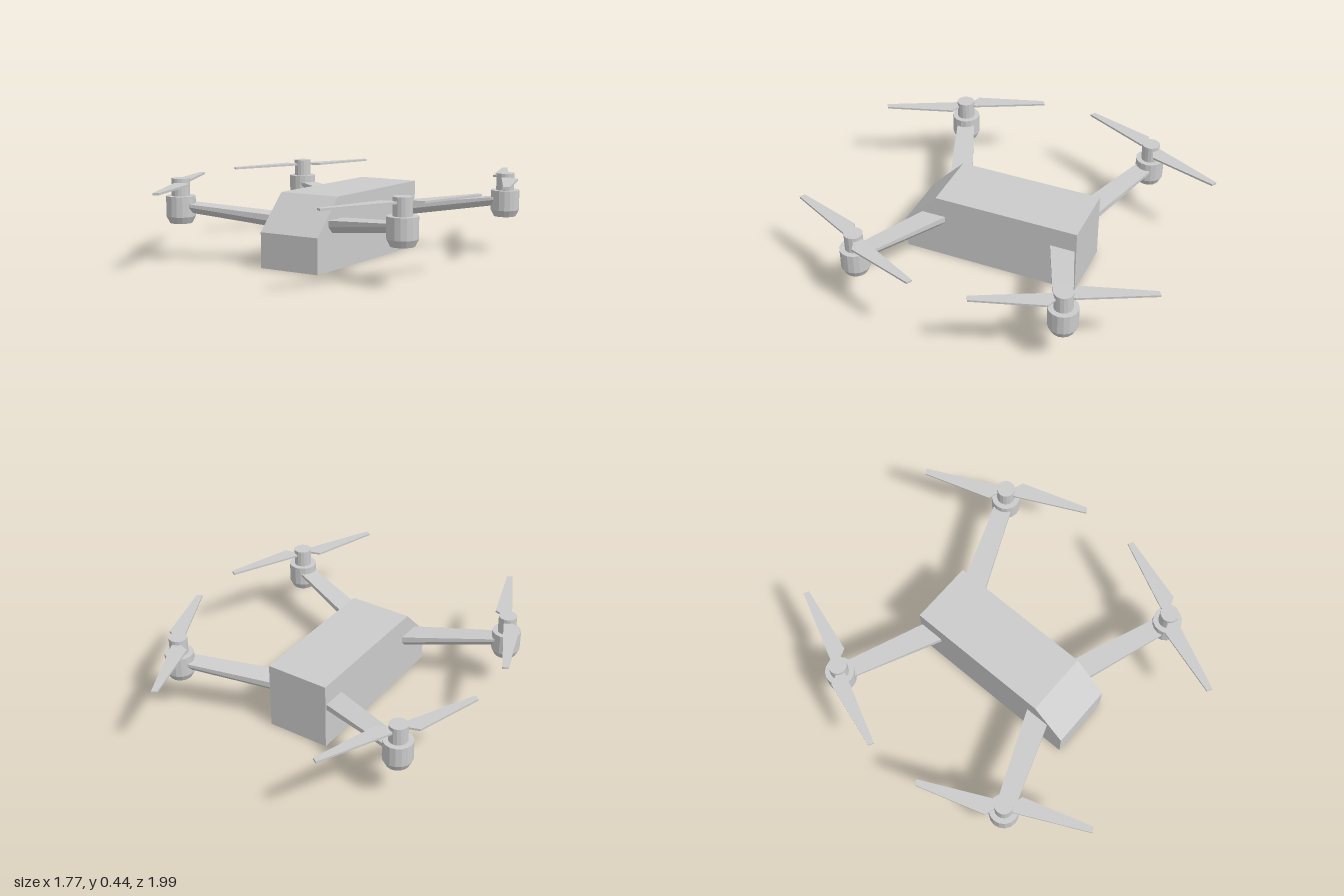
import * as THREE from 'three';
import { ConvexGeometry } from 'three/addons/geometries/ConvexGeometry.js';

const material = new THREE.MeshStandardMaterial({ color: 0xcccccc, flatShading: true, side: THREE.DoubleSide });
const MOTOR_X = 0.677, MOTOR_Z = 0.57;

function addMesh(parent, name, geometry) {
  const mesh = new THREE.Mesh(geometry, material);
  mesh.name = name;
  parent.add(mesh);
  return mesh;
}

// Extrudes an outline of [x, y] points
function prism(points, depth) {
  const shape = new THREE.Shape(points.map(([x, y]) => new THREE.Vector2(x, y)));
  return new THREE.ExtrudeGeometry(shape, { depth, bevelEnabled: false });
}

// Box body with a sloped nose
function bodyGeometry() {
  const profile = [[-0.54, 0], [0.45, 0], [0.45, 0.375], [-0.355, 0.375], [-0.54, 0.187]];
  return prism(profile, 0.35).translate(0, 0, -0.175).rotateY(Math.PI / 2);
}

// Tapered arm whose section has chamfered lower edges
function armGeometry(sx, sz) {
  const sections = [
    { x: 0.14, z: 0.358, half: 0.069, inset: 0.035, top: 0.259, mid: 0.225, low: 0.19 },
    { x: MOTOR_X, z: MOTOR_Z, half: 0.051, inset: 0.025, top: 0.312, mid: 0.298, low: 0.267 },
  ];
  const points = [];
  for (const s of sections) {
    for (const side of [-1, 1]) {
      for (const [half, y] of [[s.half, s.top], [s.half, s.mid], [s.half - s.inset, s.low]]) {
        points.push(new THREE.Vector3(sx * s.x, y, sz * (s.z + side * half)));
      }
    }
  }
  return new ConvexGeometry(points);
}

// Motor can with a chamfered base and a narrower shaft on top
function motorGeometry() {
  const profile = [[0, 0.2], [0.06, 0.2], [0.078, 0.236], [0.078, 0.345], [0.049, 0.345], [0.049, 0.438], [0, 0.438]];
  return new THREE.LatheGeometry(profile.map(([r, y]) => new THREE.Vector2(r, y)), 16);
}

// One flat blade; turn = -1 reverses the spin direction
function bladeGeometry(turn) {
  const outline = [[0, 0], [0.042, -0.026], [0.095, -0.043], [0.21, -0.409], [0.183, -0.425], [0.004, -0.06]];
  return prism(outline.map(([x, z]) => [turn * x, z]), 0.011).rotateX(Math.PI / 2).translate(0, 0.417, 0);
}

export function createModel() {
  const model = new THREE.Group();
  model.name = 'quadcopter';
  addMesh(model, 'body', bodyGeometry());

  // Four arms, each with a motor and a two-blade propeller
  for (const sx of [-1, 1]) {
    for (const sz of [-1, 1]) {
      const corner = `${sz > 0 ? 'front' : 'back'}${sx > 0 ? 'Left' : 'Right'}`;
      addMesh(model, `${corner}Arm`, armGeometry(sx, sz));

      const rotor = new THREE.Group();
      rotor.name = `${corner}Rotor`;
      rotor.position.set(sx * MOTOR_X, 0, sz * MOTOR_Z);
      model.add(rotor);
      addMesh(rotor, 'motor', motorGeometry());
      for (const angle of [0, Math.PI]) {
        addMesh(rotor, 'propellerBlade', bladeGeometry(sx * sz)).rotation.y = angle;
      }
    }
  }
  return model;
}
